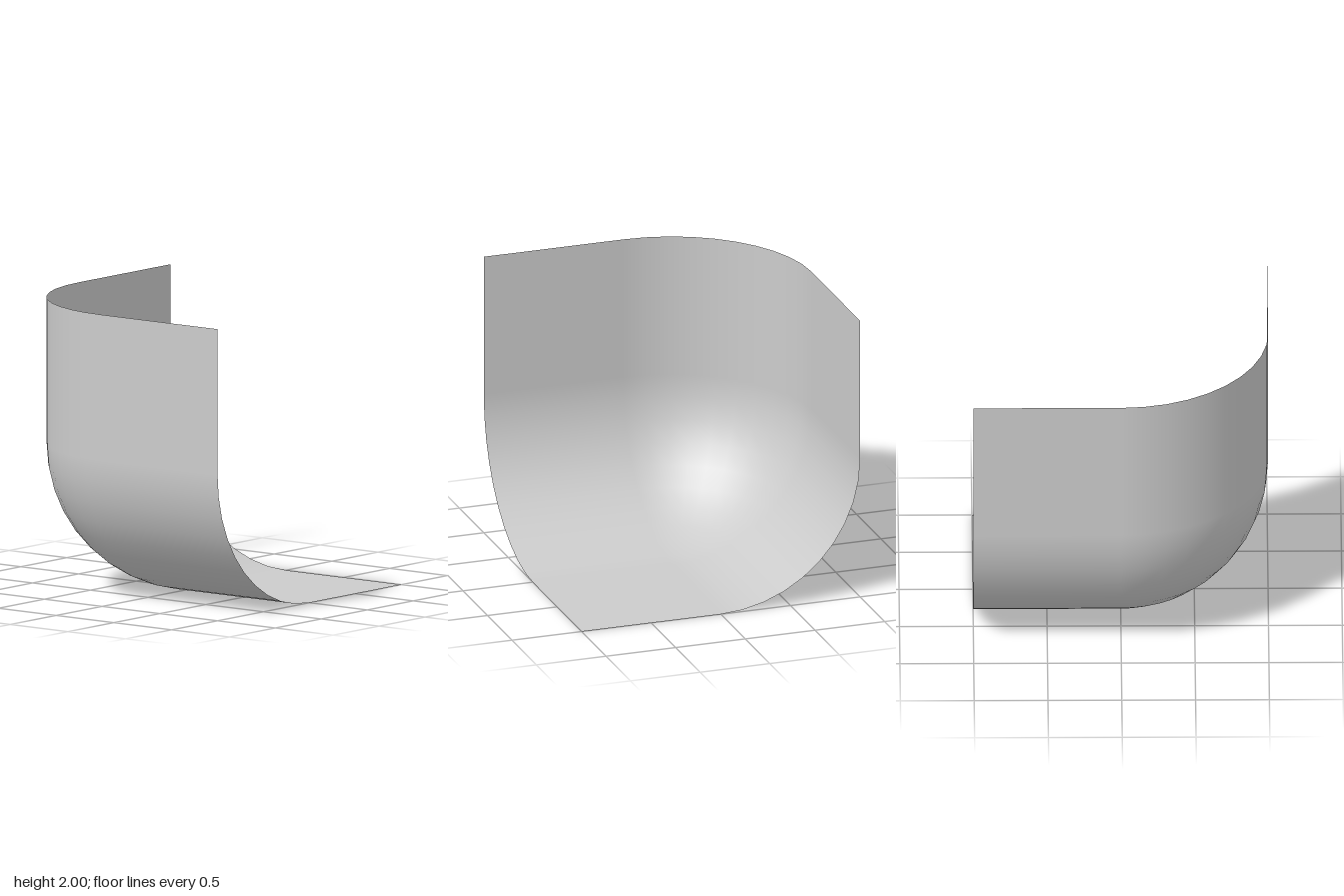
import * as THREE from 'three';

const STEPS = 10; // facets per quarter curve

export function createModel() {
  const group = new THREE.Group();
  group.name = 'curvedBackdropCorner';
  const material = new THREE.MeshStandardMaterial({ color: 0xcccccc, side: THREE.DoubleSide });

  // Plan stations: centre of the cove and its outward direction angle
  const stations = [{ x: 0, z: 1, a: 0 }];
  for (let i = 0; i <= STEPS; i++) stations.push({ x: 0, z: 0, a: (i / STEPS) * Math.PI / 2 });
  stations.push({ x: 1, z: 0, a: Math.PI / 2 });

  // Upright profile: quarter circle from the floor, then the straight wall
  const profile = [];
  for (let j = 0; j <= STEPS; j++) {
    const t = (j / STEPS) * Math.PI / 2;
    profile.push({ r: Math.sin(t), y: 1 - Math.cos(t), up: Math.cos(t) });
  }
  profile.push({ r: 1, y: 2, up: 0 });

  // Walls, coves and rounded corner as one smooth sweep facing inward
  const positions = [], normals = [], index = [];
  const rows = profile.length;
  stations.forEach((s, i) => {
    const dx = -Math.cos(s.a), dz = -Math.sin(s.a);
    profile.forEach((p, j) => {
      positions.push(s.x + dx * p.r, p.y, s.z + dz * p.r);
      normals.push(-dx * p.r, p.up, -dz * p.r);
      if (i === stations.length - 1 || j === rows - 1) return;
      const a = i * rows + j, b = a + rows;
      const atPole = j === 0 && i > 0 && i <= STEPS;
      if (!atPole) index.push(a, b, a + 1);
      index.push(b, b + 1, a + 1);
    });
  });
  const sweep = new THREE.BufferGeometry();
  sweep.setAttribute('position', new THREE.Float32BufferAttribute(positions, 3));
  sweep.setAttribute('normal', new THREE.Float32BufferAttribute(normals, 3));
  sweep.setIndex(index);
  const walls = new THREE.Mesh(sweep, material);
  walls.name = 'curvedWalls';

  // Flat part of the floor
  const floor = new THREE.Mesh(new THREE.PlaneGeometry(1, 1).rotateX(-Math.PI / 2), material);
  floor.position.set(0.5, 0, 0.5);
  floor.name = 'floor';

  group.add(walls, floor);
  return group;
}
